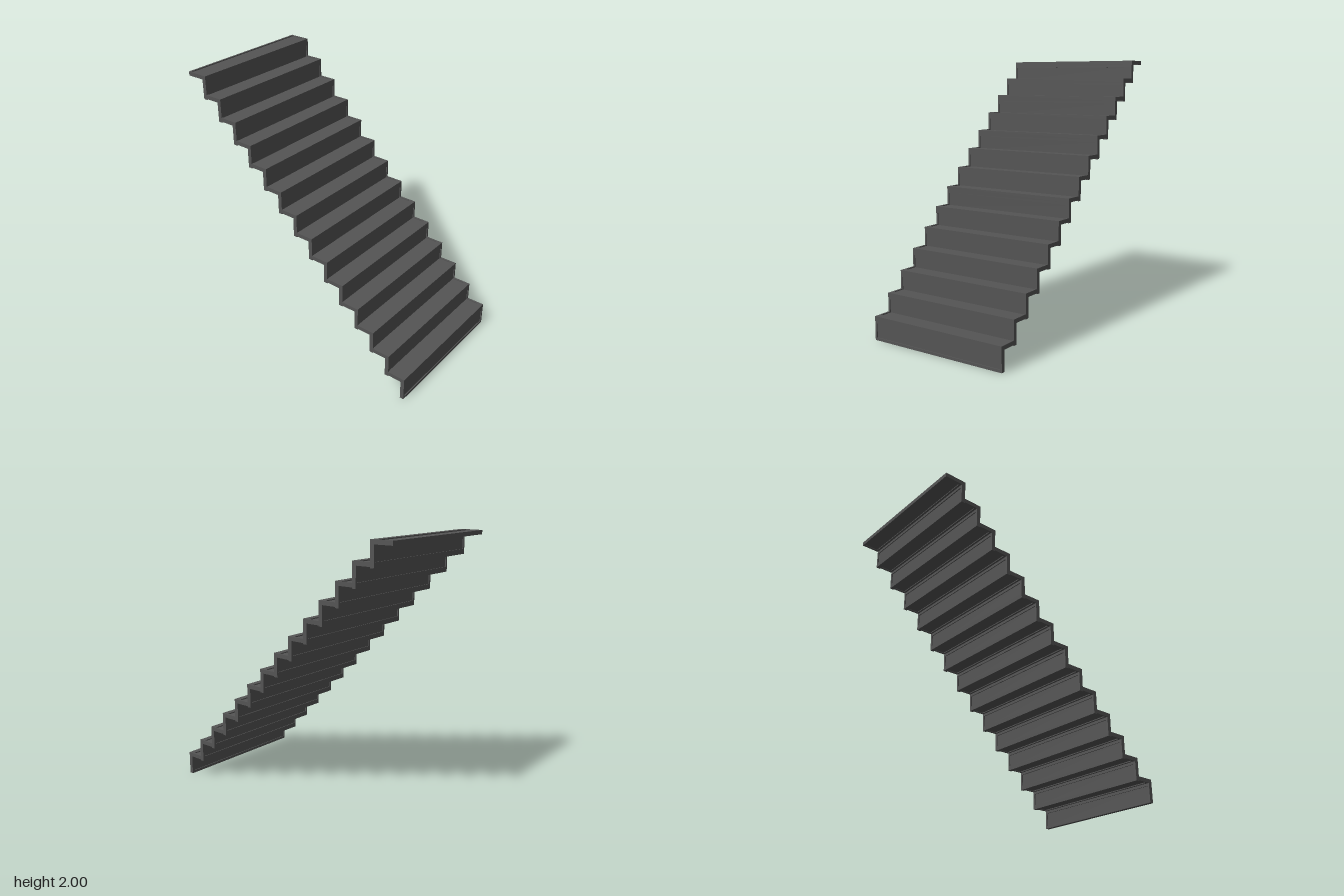
import * as THREE from 'three';

const STEPS = 14;
const HALF = 0.555;   // half the width of the stair
const THICK = 0.03;   // sheet thickness
const RISE = 0.1402;
const RUN = 0.138;
const RISER = 0.1474; // riser height below its tread
const TREAD = 0.168;  // tread depth, including the front corner
const FRONT = 0.981;  // z of the first riser
const RIM = 0.015;
const RECESS = 0.007;

const rect = (Path, x, y0, y1) => {
  const p = new Path();
  p.moveTo(-x, y0);
  p.lineTo(x, y0);
  p.lineTo(x, y1);
  p.lineTo(-x, y1);
  p.closePath();
  return p;
};

// Slab standing in the xy plane, from z = -THICK to 0: a rim around a recessed panel
function slabGeometries(length, inner0, inner1) {
  const shape = rect(THREE.Shape, HALF, 0, length);
  shape.holes.push(rect(THREE.Path, HALF - RIM, inner0, inner1));
  const rim = new THREE.ExtrudeGeometry(shape, { depth: THICK, bevelEnabled: false });
  rim.translate(0, 0, -THICK);
  const panel = new THREE.BoxGeometry(2 * (HALF - RIM), inner1 - inner0, THICK - 2 * RECESS);
  panel.translate(0, (inner0 + inner1) / 2, -THICK / 2);
  return { rim, panel };
}

export function createModel() {
  const model = new THREE.Group();
  model.name = 'staircase';
  const metal = new THREE.MeshStandardMaterial({ color: 0x545454 });
  metal.name = 'dark grey metal';

  const riser = slabGeometries(RISER, 0.02, RISER - 0.02);
  const tread = slabGeometries(TREAD, THICK + RIM, TREAD - RIM);
  // Lay the tread flat, running back from its front edge
  for (const g of Object.values(tread)) g.rotateX(-Math.PI / 2);

  const add = (group, geometries, name, y) => {
    for (const [part, geometry] of Object.entries(geometries)) {
      const mesh = new THREE.Mesh(geometry, metal);
      mesh.name = name + (part === 'rim' ? 'Rim' : 'Panel');
      mesh.position.y = y;
      group.add(mesh);
    }
  };

  // Each step is a riser topped by a tread
  for (let i = 0; i < STEPS; i++) {
    const step = new THREE.Group();
    step.name = `step${i + 1}`;
    add(step, riser, 'riser', 0);
    add(step, tread, 'tread', RISER + THICK);
    step.position.set(0, i * RISE, FRONT - i * RUN);
    model.add(step);
  }
  return model;
}
